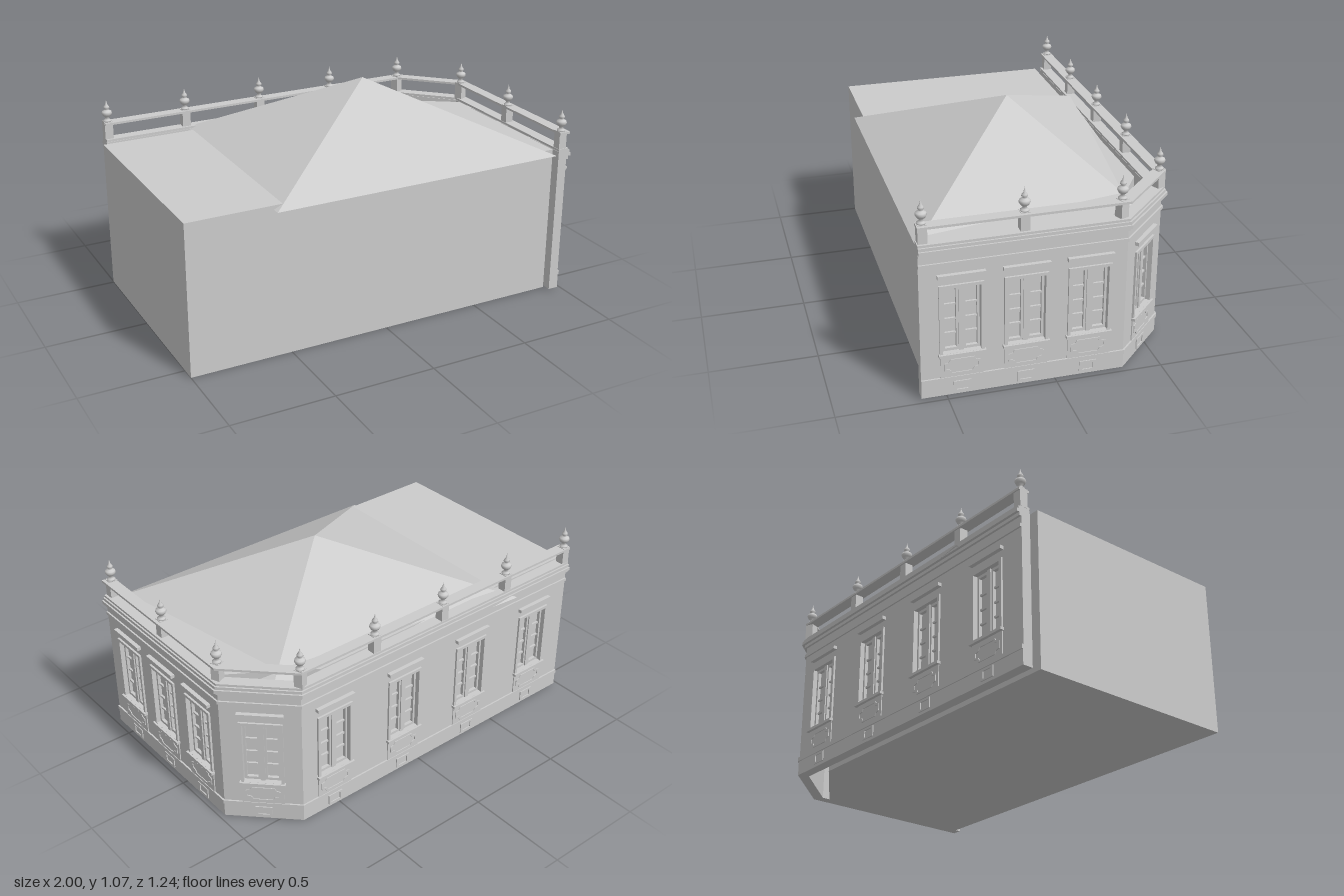
import * as THREE from 'three';

const grey = new THREE.MeshStandardMaterial({ color: 0xcccccc });
const greyOpen = new THREE.MeshStandardMaterial({ color: 0xcccccc, side: THREE.DoubleSide, flatShading: true });

// Street wall line in plan [x, z]: right side, cut corner, back
const path = [[0.975, 0.615], [0.975, -0.32], [0.715, -0.58], [-0.975, -0.58]];
const r = Math.SQRT1_2;
const normals = [[1, 0], [r, -r], [0, -1]];
const windowSpots = [[0.185, 0.475, 0.765], [0.184], [0.185, 0.605, 1.035, 1.465]];

function add(parent, name, geometry, x = 0, y = 0, z = 0, material = grey) {
  const mesh = new THREE.Mesh(geometry, material);
  mesh.name = name;
  mesh.position.set(x, y, z);
  parent.add(mesh);
  return mesh;
}

function box(parent, name, w, h, d, x, y, z) {
  return add(parent, name, new THREE.BoxGeometry(w, h, d), x, y, z);
}

// Upright prism over a plan outline
function prism(points, y0, y1) {
  const shape = new THREE.Shape(points.map(([x, z]) => new THREE.Vector2(x, -z)));
  const g = new THREE.ExtrudeGeometry(shape, { depth: y1 - y0, bevelEnabled: false });
  return g.rotateX(-Math.PI / 2).translate(0, y0, 0);
}

// Wall line moved outward by d, with mitred corners
function offsetPath(d) {
  return path.map(([x, z], i) => {
    const a = normals[Math.max(i - 1, 0)], b = normals[Math.min(i, 2)];
    const k = d / (1 + a[0] * b[0] + a[1] * b[1]);
    return [x + (a[0] + b[0]) * k, z + (a[1] + b[1]) * k];
  });
}

function band(parent, name, y0, y1, outer, inner) {
  add(parent, name, prism([...offsetPath(outer), ...offsetPath(inner).reverse()], y0, y1));
}

function rect(x0, y0, x1, y1, Type = THREE.Shape) {
  const p = new Type();
  p.moveTo(x0, y0).lineTo(x1, y0).lineTo(x1, y1).lineTo(x0, y1).closePath();
  return p;
}

function ring(outer, hole, depth) {
  outer.holes.push(hole);
  return new THREE.ExtrudeGeometry(outer, { depth, bevelEnabled: false });
}

// Panel outline with cut and stepped ends
function cartouche(w, h, Type) {
  const c = 0.02;
  const pts = [[w, h - c], [w - c, h - c * 0.7], [w - c * 1.4, h]];
  const all = [];
  for (const [sx, sy, rev] of [[1, 1, 0], [-1, 1, 1], [-1, -1, 0], [1, -1, 1]]) {
    const q = pts.map(([x, y]) => new THREE.Vector2(x * sx, y * sy));
    all.push(...(rev ? q.reverse() : q));
  }
  return new Type(all);
}

// Window with sill, lintel, apron panel and cellar vent
function makeWindow() {
  const g = new THREE.Group();
  g.name = 'window';
  add(g, 'architrave', ring(rect(-0.1, 0.22, 0.1, 0.558), rect(-0.086, 0.222, 0.086, 0.544, THREE.Path), 0.01));
  box(g, 'glass', 0.176, 0.33, 0.004, 0, 0.382, -0.03);
  for (const s of [-1, 1]) {
    add(g, 'sash', ring(rect(-0.037, 0.225, 0.037, 0.543), rect(-0.026, 0.238, 0.026, 0.53, THREE.Path), 0.016),
      s * 0.047, 0, -0.028);
    for (const y of [0.308, 0.378, 0.45]) box(g, 'glazingBar', 0.054, 0.009, 0.01, s * 0.047, y, -0.023);
  }
  box(g, 'centreMullion', 0.022, 0.32, 0.024, 0, 0.384, -0.018);
  box(g, 'sill', 0.212, 0.013, 0.032, 0, 0.215, 0.004);
  box(g, 'lintel', 0.212, 0.017, 0.032, 0, 0.603, 0.004);
  box(g, 'apron', 0.196, 0.11, 0.01, 0, 0.155, 0);
  add(g, 'apronPanelFrame', ring(cartouche(0.082, 0.038, THREE.Shape), cartouche(0.073, 0.03, THREE.Path), 0.005),
    0, 0.152, 0.004);
  add(g, 'ventFrame', ring(rect(-0.04, 0.022, 0.04, 0.074), rect(-0.026, 0.031, 0.026, 0.065, THREE.Path), 0.008));
  return g;
}

export function createModel() {
  const model = new THREE.Group();
  model.name = 'cornerBuilding';

  // Plain main block
  add(model, 'mainBlock', prism([[-1, 0.57], [0.925, 0.57], [0.925, -0.26], [0.55, -0.51], [-1, -0.51]], 0, 0.75));

  // Hipped roof
  const apex = [0.175, 1.07, 0];
  const eaves = [[-0.58, 0.73, 0.61], [0.92, 0.73, 0.61], [0.8, 0.69, -0.47], [-0.58, 0.725, -0.62]];
  const roof = new THREE.BufferGeometry();
  const corners = eaves.flatMap((e, i) => [...apex, ...e, ...eaves[(i + 1) % 4]]);
  roof.setAttribute('position', new THREE.Float32BufferAttribute(corners, 3));
  roof.computeVertexNormals();
  add(model, 'roof', roof, 0, 0, 0, greyOpen);

  // Street walls with window openings
  normals.forEach(([nx, nz], i) => {
    const facade = new THREE.Group();
    facade.name = 'facade';
    facade.position.set(path[i][0], 0, path[i][1]);
    facade.rotation.y = Math.atan2(nx, nz);
    const length = Math.hypot(path[i + 1][0] - path[i][0], path[i + 1][1] - path[i][1]);
    const wall = rect(0, 0.008, length, 0.75);
    for (const s of windowSpots[i]) {
      wall.holes.push(rect(s - 0.087, 0.222, s + 0.087, 0.545, THREE.Path));
      const win = makeWindow();
      win.position.x = s;
      facade.add(win);
    }
    add(facade, 'wall', new THREE.ExtrudeGeometry(wall, { depth: 0.048, bevelEnabled: false }), 0, 0, -0.048);
    model.add(facade);
  });

  // Plinth, string course and stepped cornice
  band(model, 'plinth', 0.008, 0.08, 0.003, -0.03);
  band(model, 'plinthMoulding', 0.08, 0.1, 0.008, -0.03);
  band(model, 'stringCourse', 0.652, 0.668, 0.008, -0.03);
  band(model, 'corniceLower', 0.706, 0.722, 0.011, -0.04);
  band(model, 'corniceMiddle', 0.722, 0.738, 0.024, -0.04);
  band(model, 'corniceUpper', 0.738, 0.752, 0.016, -0.045);
  band(model, 'corniceCap', 0.752, 0.763, 0.008, -0.048);

  // Open parapet with posts and finials
  band(model, 'parapetRail', 0.836, 0.847, 0.012, -0.045);
  const profile = [[0, 0], [0.02, 0], [0.02, 0.008], [0.012, 0.012], [0.009, 0.022], [0.02, 0.032], [0.026, 0.044],
    [0.023, 0.054], [0.011, 0.06], [0.009, 0.066], [0.015, 0.071], [0.013, 0.079], [0.006, 0.088], [0, 0.112]];
  const finial = new THREE.LatheGeometry(profile.map(([x, y]) => new THREE.Vector2(x, y)), 16);
  const posts = [[0.95, 0.59, 0], [0.95, 0.145, 0], [0.95, -0.295, Math.PI / 8], [0.705, -0.565, Math.PI / 8],
    [0.285, -0.565, 0], [-0.13, -0.565, 0], [-0.545, -0.565, 0], [-0.955, -0.565, 0]];
  for (const [x, z, turn] of posts) {
    box(model, 'parapetPost', 0.042, 0.095, 0.042, x, 0.8025, z).rotation.y = turn;
    add(model, 'finial', finial, x, 0.848, z);
  }
  return model;
}
